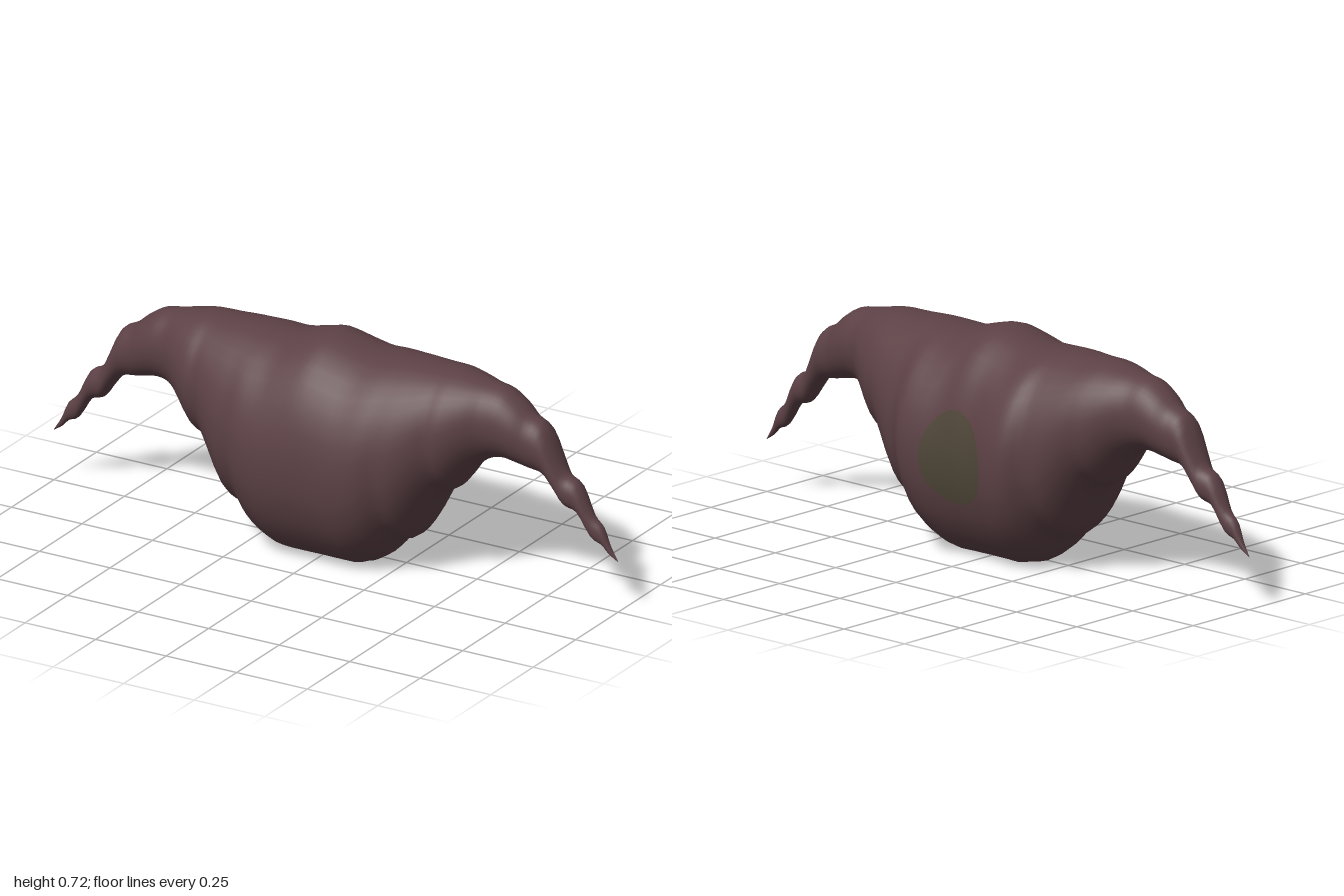
import * as THREE from 'three';

// Half-body sections: x, top, bottom, front depth, back depth
const HALF = [
  [0, 0.717, -0.015, 0.27, 0.25],
  [0.07, 0.703, -0.015, 0.27, 0.251],
  [0.14, 0.685, -0.01, 0.268, 0.268],
  [0.21, 0.685, 0.03, 0.257, 0.268],
  [0.26, 0.687, 0.09, 0.235, 0.235],
  [0.31, 0.687, 0.112, 0.222, 0.222],
  [0.37, 0.684, 0.22, 0.192, 0.198],
  [0.41, 0.684, 0.28, 0.17, 0.18],
  [0.45, 0.683, 0.3, 0.163, 0.165],
  [0.51, 0.672, 0.38, 0.13, 0.132],
  [0.56, 0.662, 0.418, 0.1, 0.102],
  [0.61, 0.653, 0.43, 0.09, 0.091],
  [0.66, 0.622, 0.422, 0.08, 0.081],
  [0.7, 0.588, 0.413, 0.066, 0.066],
  [0.75, 0.558, 0.402, 0.059, 0.059],
  [0.79, 0.475, 0.355, 0.05, 0.05],
  [0.82, 0.42, 0.315, 0.043, 0.043],
  [0.865, 0.392, 0.298, 0.036, 0.036],
  [0.91, 0.305, 0.228, 0.025, 0.025],
  [0.945, 0.27, 0.21, 0.018, 0.018],
  [0.97, 0.215, 0.185, 0.01, 0.01],
  [1, 0.167, 0.165, 0.001, 0.001],
];
const ROWS = [...HALF.slice(1).reverse().map(([x, ...r]) => [-x, ...r]), ...HALF];
const SPAN = ROWS.length - 1;
const spline = (a, b) => new THREE.CatmullRomCurve3(
  ROWS.map((r) => new THREE.Vector3(r[0], r[a], r[b])), false, 'catmullrom', 0.5);
const heights = spline(1, 2);
const depths = spline(3, 4);

// Point on the body: u runs tip to tip, a runs around the section from the front
function skin(u, a, lift = 0) {
  const h = heights.getPoint(u), d = depths.getPoint(u);
  const c = Math.cos(a), s = Math.sin(a);
  const y = (h.y + h.z) / 2 + (h.y - h.z) / 2 * s;
  const z = c > 0 ? c * (d.y + lift) : c * (d.z + lift);
  return [h.x, Math.max(0, y), z];
}

// Grid surface closed in its second direction
function closedGrid(nu, nv, point) {
  const pos = [], index = [];
  for (let i = 0; i <= nu; i++) {
    for (let j = 0; j < nv; j++) {
      pos.push(...point(i / nu, (j / nv) * Math.PI * 2));
      if (i === nu) continue;
      const a = i * nv + j, b = a + nv;
      const c = i * nv + (j + 1) % nv, d = c + nv;
      index.push(a, b, d, a, d, c);
    }
  }
  const g = new THREE.BufferGeometry();
  g.setAttribute('position', new THREE.Float32BufferAttribute(pos, 3));
  g.setIndex(index);
  g.computeVertexNormals();
  return g;
}

function addMesh(group, name, geometry, color) {
  const mesh = new THREE.Mesh(geometry, new THREE.MeshStandardMaterial({ color, side: THREE.DoubleSide }));
  mesh.name = name;
  group.add(mesh);
}

export function createModel() {
  const model = new THREE.Group();
  model.name = 'taperedBody';

  // Rippled body with drooping pointed ends
  addMesh(model, 'body', closedGrid(SPAN * 3, 40, (u, a) => skin(u, a)), 0x5c4145);

  // Faint oval patch lying on the back
  addMesh(model, 'backPatch', closedGrid(6, 32, (r, t) =>
    skin(0.5 + (1.8 * r * Math.cos(t)) / SPAN, Math.PI + 0.03 + 0.42 * r * Math.sin(t), 0.003)), 0x4f4638);

  return model;
}
